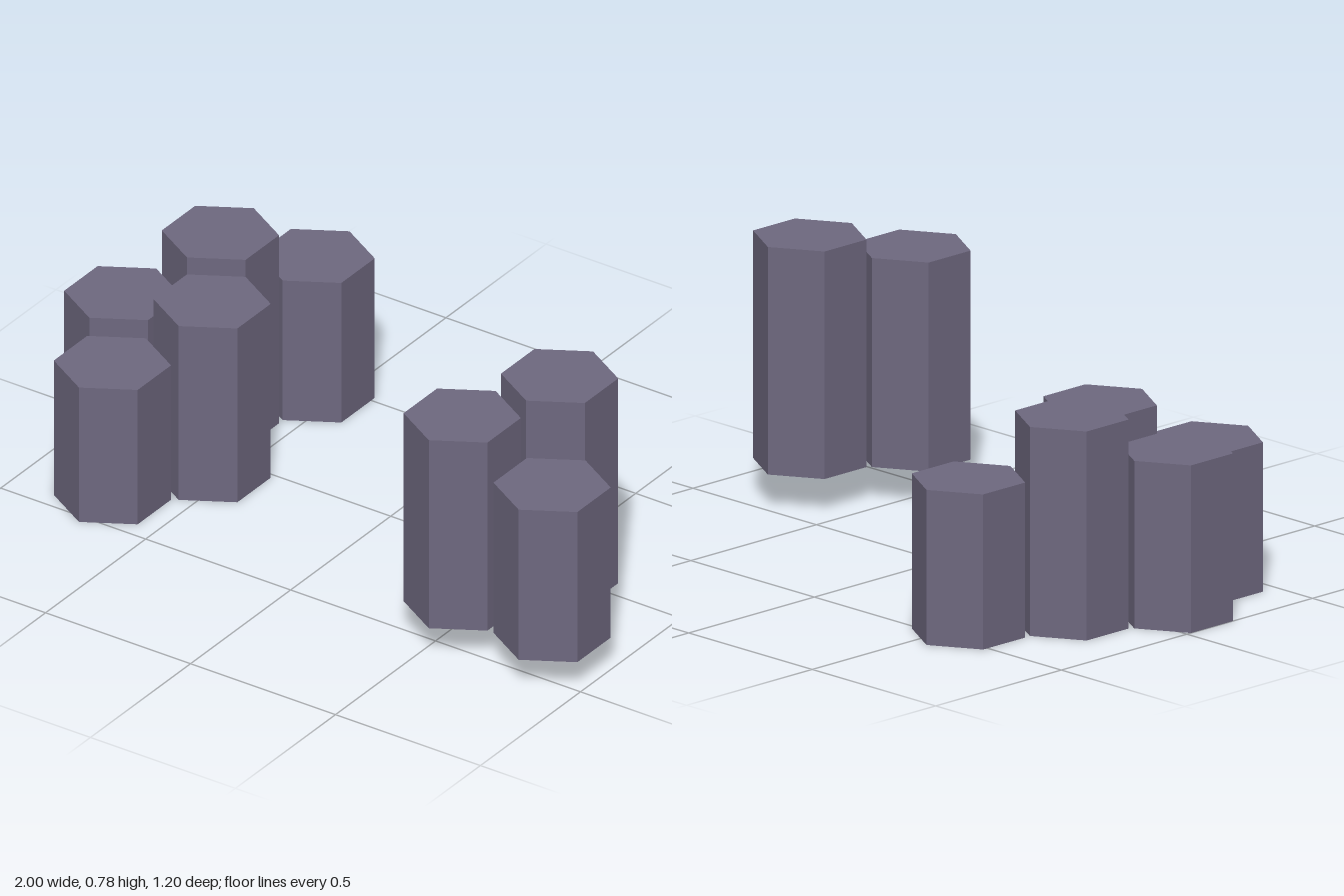
import * as THREE from 'three';

const RADIUS = 0.167;

// Each column: x, z, bottom, top
const LEFT_CLUSTER = [
  [0.70, 0.17, 0.105, 0.78],
  [0.545, 0.432, 0.105, 0.725],
  [0.855, 0.432, 0.105, 0.60],
];
const RIGHT_CLUSTER = [
  [-0.557, -0.434, 0, 0.46],
  [-0.70, -0.163, 0, 0.62],
  [-0.855, 0.10, 0, 0.497],
  [-0.547, 0.10, 0, 0.573],
  [-0.71, 0.362, 0, 0.443],
];

// A group of upright hexagonal stone columns with corners pointing along z
function makeCluster(name, columns, material) {
  const cluster = new THREE.Group();
  cluster.name = name;
  columns.forEach(([x, z, bottom, top], i) => {
    const geometry = new THREE.CylinderGeometry(RADIUS, RADIUS, top - bottom, 6);
    const column = new THREE.Mesh(geometry, material);
    column.name = `hexColumn${i + 1}`;
    column.position.set(x, (bottom + top) / 2, z);
    cluster.add(column);
  });
  return cluster;
}

export function createModel() {
  const basalt = new THREE.MeshStandardMaterial({ color: 0x6e687f });
  basalt.name = 'basalt';
  basalt.flatShading = true;

  const model = new THREE.Group();
  model.name = 'basaltColumns';
  model.add(
    makeCluster('leftRaisedCluster', LEFT_CLUSTER, basalt),
    makeCluster('rightGroundCluster', RIGHT_CLUSTER, basalt),
  );
  return model;
}
